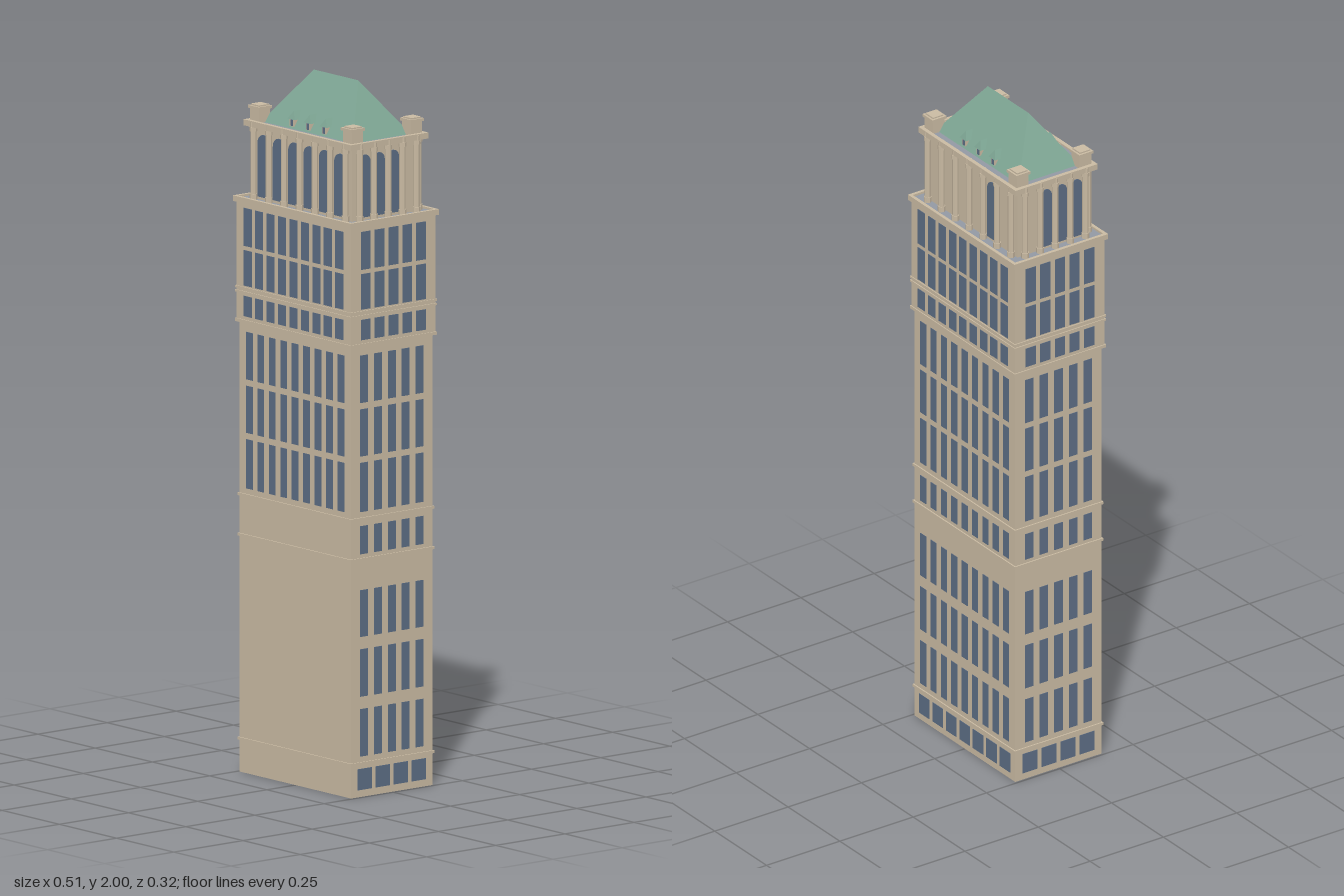
import * as THREE from 'three';
import { mergeGeometries } from 'three/addons/utils/BufferGeometryUtils.js';

const flat = (name, color) => {
  const m = new THREE.MeshStandardMaterial({ color });
  m.name = name;
  return m;
};

export function createModel() {
  const stone = flat('stone', 0xc9baa2);
  const glass = flat('glass', 0x5c6d84);
  const copper = flat('greenCopper', 0x7da593);
  const deckGrey = flat('deckGrey', 0x9299a3);
  const stoneShell = flat('stoneShell', 0xc9baa2);
  stoneShell.side = THREE.DoubleSide;

  const model = new THREE.Group();
  model.name = 'tower';
  const add = (name, geometry, material) => {
    const mesh = new THREE.Mesh(geometry, material);
    mesh.name = name;
    model.add(mesh);
    return mesh;
  };

  // Box from half width, half depth and bottom/top heights
  const block = (hx, hz, y0, y1, x = 0, z = 0) =>
    new THREE.BoxGeometry(hx * 2, y1 - y0, hz * 2).translate(x, (y0 + y1) / 2, z);

  // Rectangular frame with wall thickness t
  const rect = (Type, hx, hz) => new Type([[-hx, -hz], [hx, -hz], [hx, hz], [-hx, hz]]
    .map(([x, y]) => new THREE.Vector2(x, y)));
  const frame = (hx, hz, t, y0, y1) => {
    const s = rect(THREE.Shape, hx, hz);
    s.holes.push(rect(THREE.Path, hx - t, hz - t));
    return new THREE.ExtrudeGeometry(s, { depth: y1 - y0, bevelEnabled: false })
      .rotateX(-Math.PI / 2).translate(0, y0, 0);
  };

  // Four facades: local u runs to the viewer's right
  const sides = [
    { name: 'front', angle: 0, long: true },
    { name: 'right', angle: Math.PI / 2, long: false },
    { name: 'back', angle: Math.PI, long: true },
    { name: 'left', angle: -Math.PI / 2, long: false },
  ];

  // Main masses
  const HX = 0.243, HZ = 0.147, WX = 0.25, WZ = 0.153;
  add('base', frame(HX, HZ, 0.002, 0, 0.1), stoneShell);
  add('shaft', block(HX, HZ, 0.095, 1.285), stone);
  add('upperShaft', block(WX, WZ, 1.285, 1.628), stone);

  // Ledges and string courses
  [0.095, 0.675, 0.79].forEach((y) =>
    add('ledge', frame(HX + 0.004, HZ + 0.004, 0.012, y - 0.004, y + 0.004), stone));
  add('upperLedge', frame(WX + 0.003, WZ + 0.003, 0.014, 1.281, 1.29), stone);
  [1.368, 1.38].forEach((y) =>
    add('stringCourse', frame(WX + 0.003, WZ + 0.003, 0.01, y - 0.003, y + 0.003), stone));
  add('cornice', frame(0.257, 0.16, 0.01, 1.622, 1.638), stone);
  add('terrace', block(0.25, 0.153, 1.626, 1.632), deckGrey);

  // Window rows: bottom, top, skipped on the blank lower front
  const rows = [
    { y: [0.02, 0.08], w: 0.05, pitch: 0.065, blankFront: true },
    { y: [0.115, 0.25], blankFront: true },
    { y: [0.285, 0.42], blankFront: true },
    { y: [0.455, 0.588], blankFront: true },
    { y: [0.69, 0.77], blankFront: true },
    { y: [0.81, 0.95] }, { y: [0.968, 1.102] }, { y: [1.12, 1.255] },
    { y: [1.3, 1.358], w: 0.034, wide: true },
    { y: [1.387, 1.488], w: 0.034, wide: true },
    { y: [1.5, 1.608], w: 0.034, wide: true },
  ];
  for (const side of sides) {
    const plates = [];
    for (const { y, w = 0.028, pitch = 0.05, blankFront, wide } of rows) {
      if (blankFront && side.name === 'front') continue;
      const n = Math.floor((side.long ? HX : HZ) * 2 / pitch);
      const off = side.long ? (wide ? WZ : HZ) : (wide ? WX : HX);
      for (let i = 0; i < n; i++) {
        plates.push(new THREE.BoxGeometry(w, y[1] - y[0], 0.003)
          .translate((i - (n - 1) / 2) * pitch, (y[0] + y[1]) / 2, off));
      }
    }
    add(side.name + 'Windows', mergeGeometries(plates).rotateY(side.angle), glass);
  }

  // Crown storey
  const CX = 0.217, CZ = 0.121;
  add('crownWall', block(CX, CZ, 1.63, 1.846), stone);
  add('crownCornice', frame(0.235, 0.14, 0.012, 1.838, 1.855), stone);
  add('roofDeck', block(0.228, 0.132, 1.84, 1.85), deckGrey);

  // Arched window outline
  const arch = (w, y0, y1) => {
    const s = new THREE.Shape();
    s.moveTo(-w / 2, y0);
    s.lineTo(w / 2, y0);
    s.lineTo(w / 2, y1 - w / 2);
    s.absarc(0, y1 - w / 2, w / 2, 0, Math.PI, false);
    return new THREE.ExtrudeGeometry(s, { depth: 0.003, bevelEnabled: false, curveSegments: 8 });
  };
  const openBays = { front: [0, 1, 2, 3, 4, 5], right: [0, 1, 2], back: [4], left: [1, 2, 3] };
  for (const side of sides) {
    const n = side.long ? 6 : 4;
    const pitch = side.long ? 0.067 : 0.0515;
    const off = side.long ? CZ : CX;
    const arches = openBays[side.name].map((i) =>
      arch(side.long ? 0.052 : 0.04, 1.64, 1.818).translate((i - (n - 1) / 2) * pitch, 0, off));
    add(side.name + 'Arches', mergeGeometries(arches).rotateY(side.angle), glass);

    // Octagonal piers between the bays
    const piers = [];
    for (let i = 0; i <= n; i++) {
      const u = (i - n / 2) * pitch;
      piers.push(
        new THREE.CylinderGeometry(0.009, 0.009, 0.222, 8).translate(u, 1.741, off + 0.011),
        new THREE.CylinderGeometry(0.011, 0.011, 0.012, 8).translate(u, 1.832, off + 0.011),
        new THREE.CylinderGeometry(0.011, 0.011, 0.016, 8).translate(u, 1.64, off + 0.011));
    }
    const mat = add(side.name + 'Piers', mergeGeometries(piers.map((g) => g.toNonIndexed())), stone);
    mat.geometry.computeVertexNormals();
    mat.geometry.rotateY(side.angle);
  }

  // Corner turrets
  for (const sx of [-1, 1]) for (const sz of [-1, 1]) {
    const x = sx * 0.203, z = sz * 0.107;
    add('cornerTurret', block(0.02, 0.02, 1.845, 1.888, x, z), stone);
    add('turretCap', block(0.024, 0.024, 1.888, 1.896, x, z), stone);
    add('turretTop', block(0.018, 0.018, 1.896, 1.9, x, z), stone);
  }

  // Hipped roof: pull the top of a box in to a ridge
  const hip = new THREE.BoxGeometry(0.4, 0.15, 0.21).translate(0, 1.925, 0);
  const p = hip.attributes.position;
  for (let i = 0; i < p.count; i++) {
    if (p.getY(i) > 1.9) p.setXYZ(i, Math.sign(p.getX(i)) * 0.097, 2, 0);
  }
  hip.computeVertexNormals();
  add('roof', hip, copper);

  // Gabled dormers on both long slopes
  for (const angle of [0, Math.PI]) for (const x of [-0.07, 0, 0.07]) {
    add('dormerWall', block(0.01, 0.012, 1.85, 1.88, x, 0.089).rotateY(angle), stone);
    add('dormerWindow', block(0.005, 0.0015, 1.857, 1.875, x, 0.101).rotateY(angle), glass);
    const gable = new THREE.BoxGeometry(0.031, 0.02, 0.04).translate(0, 1.886, 0.085);
    const q = gable.attributes.position;
    for (let i = 0; i < q.count; i++) {
      if (q.getY(i) > 1.886) q.setXYZ(i, 0, 1.899, Math.min(q.getZ(i), 0.094));
    }
    gable.computeVertexNormals();
    add('dormerRoof', gable.translate(x, 0, 0).rotateY(angle), copper);
  }
  return model;
}
